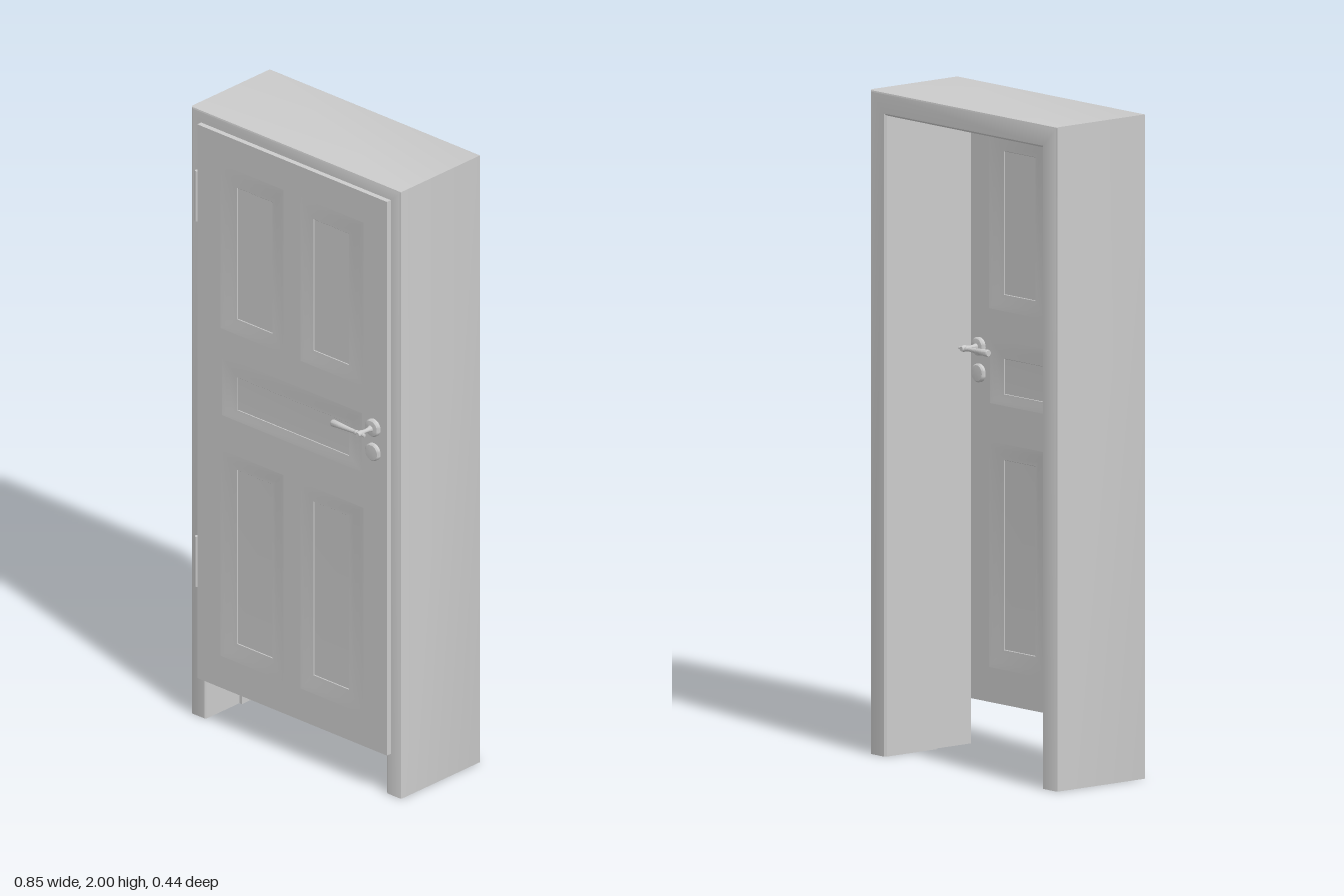
import * as THREE from 'three';
import { toCreasedNormals } from 'three/addons/utils/BufferGeometryUtils.js';

const material = new THREE.MeshStandardMaterial({ color: 0xcccccc });
const DOOR_BACK = 0.127, DOOR_FRONT = 0.144, DOOR_MID = (DOOR_BACK + DOOR_FRONT) / 2;

function add(parent, name, geometry, x = 0, y = 0, z = 0) {
  const mesh = new THREE.Mesh(geometry, material);
  mesh.name = name;
  mesh.position.set(x, y, z);
  parent.add(mesh);
  return mesh;
}

// Skin over closed cross-sections; optionally closes the last one with a fan
function loft(rings, capEnd = false) {
  const n = rings[0].length, index = [];
  for (let r = 0; r < rings.length - 1; r++) {
    for (let i = 0; i < n; i++) {
      const a = r * n + i, b = r * n + (i + 1) % n;
      index.push(a, b, b + n, a, b + n, a + n);
    }
  }
  const last = (rings.length - 1) * n;
  if (capEnd) for (let i = 1; i < n - 1; i++) index.push(last, last + i, last + i + 1);
  const geometry = new THREE.BufferGeometry();
  geometry.setAttribute('position', new THREE.Float32BufferAttribute(rings.flat(2), 3));
  geometry.setIndex(index);
  return toCreasedNormals(geometry, Math.PI / 5);
}

// Jamb section as [distance in from the outer edge, z], mitred round the opening
function buildFrame(root) {
  const frame = new THREE.Group();
  frame.name = 'doorFrame';
  root.add(frame);
  const section = [
    [0.006, -0.22], [0.002, -0.218], [0, -0.214], [0, 0.121], [0.002, 0.125], [0.006, 0.127],
    [0.056, 0.127], [0.06, 0.123], [0.06, -0.02], [0.07, -0.02], [0.07, -0.214], [0.064, -0.22],
  ];
  const ring = (side, top) => section.map(([d, z]) => [side * (0.427 - d), top ? 2 - d : 0, z]);
  add(frame, 'jambsAndLintel', loft([ring(-1, false), ring(-1, true), ring(1, true), ring(1, false)]));
  for (const side of [-1, 1]) {
    const foot = new THREE.Shape(section.map(([d, z]) => new THREE.Vector2(side * (0.427 - d), z)));
    add(frame, side > 0 ? 'leftJambFoot' : 'rightJambFoot', new THREE.ShapeGeometry(foot).rotateX(Math.PI / 2));
  }
}

// Panels: outer rectangle and inner field, each [x0, y0, x1, y1]
const upper = [[0.035, 1.32, 0.29, 1.86], [0.085, 1.37, 0.225, 1.8]];
const lower = [[0.035, 0.24, 0.29, 0.92], [0.085, 0.3, 0.225, 0.87]];
const middle = [[-0.285, 1.035, 0.285, 1.23], [-0.225, 1.07, 0.225, 1.175]];
const mirrored = (panel) => panel.map(([x0, y0, x1, y1]) => [-x1, y0, -x0, y1]);
const panels = [upper, mirrored(upper), middle, lower, mirrored(lower)];

const corners = ([x0, y0, x1, y1]) => [[x0, y0], [x1, y0], [x1, y1], [x0, y1]];

function buildDoor(root) {
  const door = new THREE.Group();
  door.name = 'door';
  root.add(door);

  // Slab with an opening for each panel
  const toPath = (rect, Type) => new Type(corners(rect).map(([x, y]) => new THREE.Vector2(x, y)));
  const outline = toPath([-0.385, 0.135, 0.385, 1.96], THREE.Shape);
  outline.holes = panels.map(([outer]) => toPath(outer, THREE.Path));
  add(door, 'doorSlab', new THREE.ExtrudeGeometry(outline, {
    depth: DOOR_FRONT - DOOR_BACK, bevelEnabled: false,
  }), 0, 0, DOOR_BACK);

  // Softly sunk panels with a crisp inner field, on both faces
  const steps = [[0, 0], [0.3, -0.001], [0.7, -0.0035], [0.97, -0.0045], [1, -0.0065]];
  for (const face of ['front', 'back']) {
    const group = new THREE.Group();
    group.name = face + 'Panels';
    group.position.z = face === 'front' ? DOOR_FRONT : DOOR_BACK;
    if (face === 'back') group.rotation.y = Math.PI;
    door.add(group);
    for (const [outer, inner] of panels) {
      const rings = steps.map(([t, z]) =>
        corners(outer.map((v, i) => v + (inner[i] - v) * t)).map(([x, y]) => [x, y, z]));
      add(group, 'sunkPanel', loft(rings, true));
    }
  }
}

// Turned part whose axis points along z, away from the door
function turned(profile, side) {
  const points = profile.map(([r, h]) => new THREE.Vector2(r, h));
  return toCreasedNormals(new THREE.LatheGeometry(points, 24), Math.PI / 5).rotateX(side * Math.PI / 2);
}

function buildHandle(root, side) {
  const handle = new THREE.Group();
  handle.name = side > 0 ? 'frontHandle' : 'backHandle';
  root.add(handle);
  const face = DOOR_MID + side * (DOOR_FRONT - DOOR_MID);
  const x = 0.332, leverZ = face + side * 0.061;

  add(handle, 'rosette', turned([[0.028, 0], [0.028, 0.008], [0.024, 0.013], [0.012, 0.015], [0, 0.015]], side), x, 1.2, face);
  add(handle, 'keyPlate', turned([[0.028, 0], [0.028, 0.008], [0.024, 0.012], [0, 0.014]], side), x, 1.12, face);
  add(handle, 'neck', turned([[0.011, 0.013], [0.007, 0.025], [0.006, 0.04], [0.009, 0.054], [0.01, 0.064], [0.007, 0.072], [0, 0.074]], side), x, 1.2, face);

  // Lever grip, swelling towards its free end
  const grip = [[0, -0.022], [0.005, -0.02], [0.006, -0.015], [0.004, -0.01], [0.006, 0.008],
    [0.008, 0.014], [0.006, 0.02], [0.007, 0.04], [0.009, 0.075], [0.011, 0.108], [0.009, 0.112], [0, 0.112]];
  const lever = new THREE.LatheGeometry(grip.map(([r, h]) => new THREE.Vector2(r, h)), 20);
  add(handle, 'lever', toCreasedNormals(lever, Math.PI / 5).rotateZ(Math.PI / 2), x, 1.2, leverZ);
}

function buildHinges(root) {
  for (const y of [0.515, 1.72]) {
    const hinge = new THREE.Group();
    hinge.name = 'hinge';
    root.add(hinge);
    add(hinge, 'hingeBarrel', new THREE.CylinderGeometry(0.006, 0.006, 0.165, 16), -0.394, y, 0.137);
    add(hinge, 'hingeLeaf', new THREE.BoxGeometry(0.012, 0.15, 0.003), -0.389, y, 0.133);
  }
}

export function createModel() {
  const root = new THREE.Group();
  root.name = 'panelledDoor';
  buildFrame(root);
  buildDoor(root);
  buildHandle(root, 1);
  buildHandle(root, -1);
  buildHinges(root);
  return root;
}
